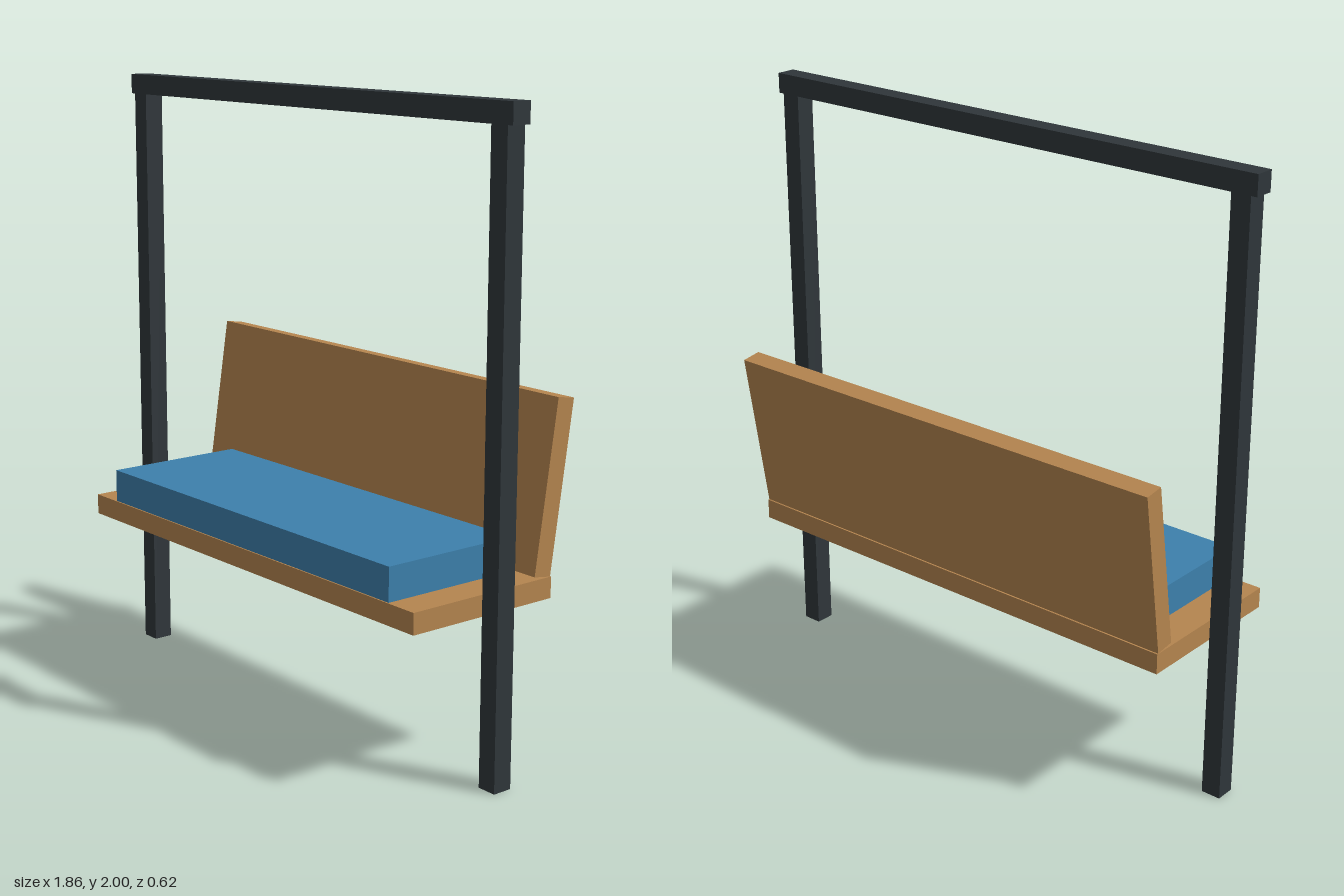
import * as THREE from 'three';

export function createModel() {
  const model = new THREE.Group();
  model.name = 'swingBench';

  const steel = new THREE.MeshStandardMaterial({ color: 0x2f363a });
  const wood = new THREE.MeshStandardMaterial({ color: 0xb5854f });
  const fabric = new THREE.MeshStandardMaterial({ color: 0x3d80ac });

  const box = (name, material, size, position) => {
    const mesh = new THREE.Mesh(new THREE.BoxGeometry(...size), material);
    mesh.name = name;
    mesh.position.set(...position);
    model.add(mesh);
    return mesh;
  };

  const bar = 0.065;    // square section of the frame
  const frameZ = 0.035;

  // Frame: two posts and a crossbeam
  for (const [name, side] of [['leftPost', 1], ['rightPost', -1]]) {
    box(name, steel, [bar, 2 - bar, bar], [side * 0.875, (2 - bar) / 2, frameZ]);
  }
  box('crossbeam', steel, [1.855, bar, bar], [0, 2 - bar / 2, frameZ]);

  // Bench: seat board, cushion and a backrest leaning backwards
  box('seat', wood, [1.64, 0.067, 0.545], [0, 0.549, 0.038]);
  box('cushion', fabric, [1.415, 0.108, 0.49], [0, 0.636, 0.061]);
  const backrest = box('backrest', wood, [1.64, 0.54, bar], [0, 0.855, -0.238]);
  backrest.rotation.x = -0.15;

  return model;
}
